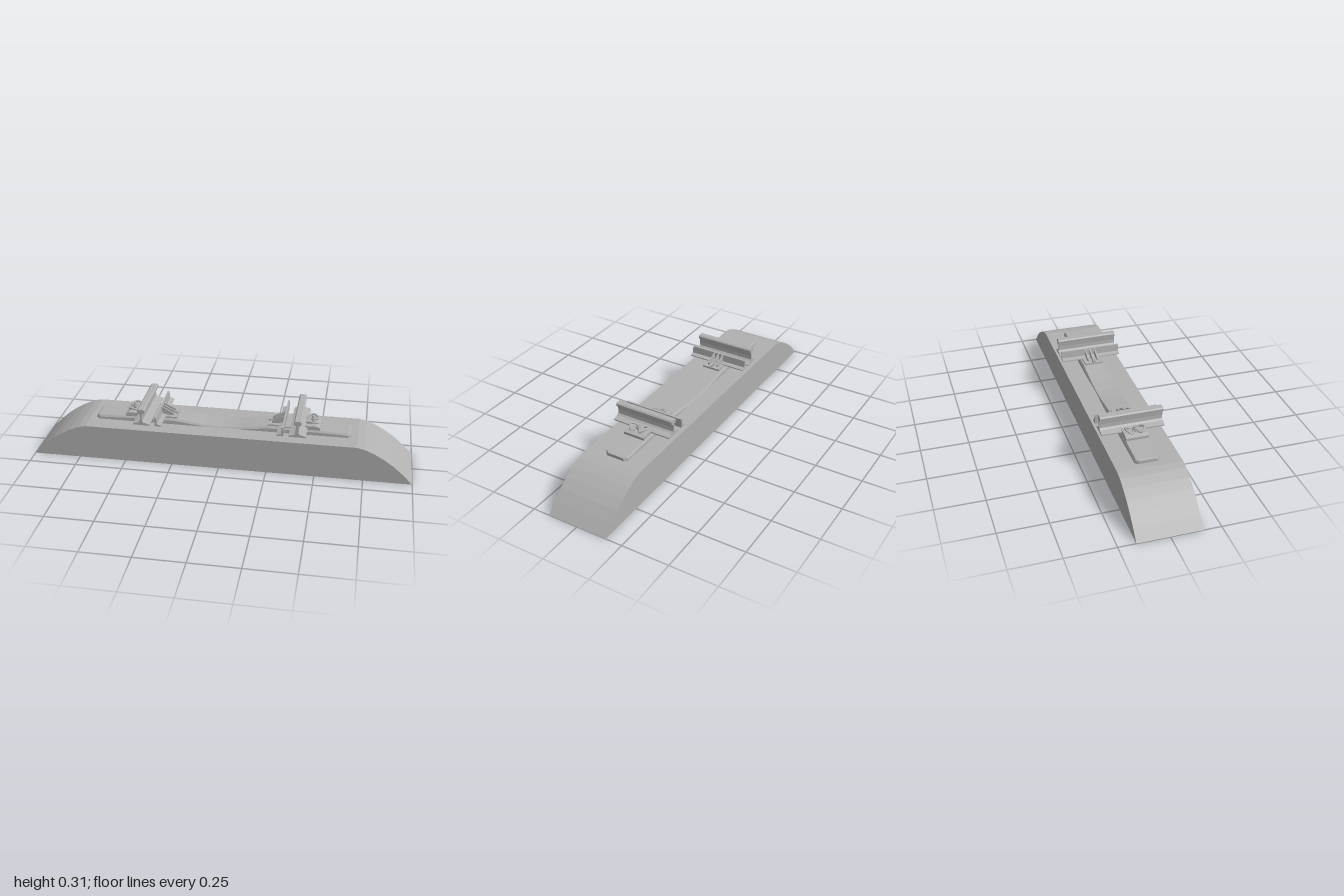
import * as THREE from 'three';

const grey = new THREE.MeshStandardMaterial({ color: 0xb0b0b0, side: THREE.DoubleSide });
grey.name = 'neutral grey';

function add(parent, name, geometry, x = 0, y = 0, z = 0) {
  const mesh = new THREE.Mesh(geometry, grey);
  mesh.name = name;
  mesh.position.set(x, y, z);
  parent.add(mesh);
  return mesh;
}

// Profile in x/y, swept along z and centred on z = 0
function sweep(points, depth, holes = []) {
  const shape = new THREE.Shape(points.map(([x, y]) => new THREE.Vector2(x, y)));
  shape.holes.push(...holes);
  const g = new THREE.ExtrudeGeometry(shape, { depth, bevelEnabled: false });
  return g.translate(0, 0, -depth / 2);
}

// Half profile mirrored in x, listed from the bottom centre outwards to the top
const mirrored = (half) => [...half, ...half.slice().reverse().map(([x, y]) => [-x, y])];

// Rail fastening on the field side: block, bolt, spring clip
function fieldClip() {
  const g = new THREE.Group();
  g.name = 'fieldClip';
  add(g, 'clipBlock', sweep([[0.435, 0.208], [0.515, 0.208], [0.515, 0.226], [0.495, 0.234], [0.435, 0.234]], 0.116));
  add(g, 'boltWasher', new THREE.CylinderGeometry(0.014, 0.014, 0.006, 16), 0.475, 0.252);
  add(g, 'boltShank', new THREE.CylinderGeometry(0.007, 0.007, 0.035, 12), 0.475, 0.243);
  add(g, 'boltHead', new THREE.CylinderGeometry(0.008, 0.011, 0.013, 6), 0.475, 0.261);
  for (const s of [-1, 1]) {
    const path = new THREE.CatmullRomCurve3([
      [0.445, 0.237, 0.018], [0.447, 0.243, 0.034], [0.468, 0.252, 0.048],
      [0.49, 0.25, 0.04], [0.5, 0.24, 0.024], [0.485, 0.243, 0.012], [0.468, 0.247, 0.01],
    ].map(([x, y, z]) => new THREE.Vector3(x, y, s * z)));
    add(g, 'springClip', new THREE.TubeGeometry(path, 28, 0.005, 8));
  }
  return g;
}

// One rail with its inner guard angle; built for +x
function railAssembly() {
  const g = new THREE.Group();
  g.name = 'railAssembly';

  const rail = mirrored([
    [0.044, 0.22], [0.044, 0.226], [0.015, 0.234], [0.006, 0.242], [0.0045, 0.262],
    [0.006, 0.283], [0.019, 0.289], [0.02, 0.302], [0.014, 0.308],
  ]);
  add(g, 'rail', sweep(rail, 0.324), 0.406);
  add(g, 'railPad', new THREE.BoxGeometry(0.15, 0.008, 0.116), 0.39, 0.217);

  // Guard angle with gussets
  add(g, 'guardAngle', sweep([
    [0.335, 0.22], [0.3, 0.22], [0.3, 0.225], [0.322, 0.231], [0.326, 0.268], [0.335, 0.268],
  ], 0.324));
  for (const z of [-0.026, 0, 0.026]) {
    add(g, 'gusset', sweep([[0.327, 0.218], [0.262, 0.218], [0.262, 0.235], [0.327, 0.268]], 0.007), 0, 0, z);
  }
  add(g, 'gussetPlate', new THREE.BoxGeometry(0.09, 0.012, 0.1), 0.285, 0.217);
  add(g, 'anchorNut', new THREE.CylinderGeometry(0.009, 0.009, 0.012, 6), 0.25, 0.228);

  g.add(fieldClip());
  return g;
}

export function createModel() {
  const model = new THREE.Group();
  model.name = 'trackSection';

  // Ballast bed with rounded shoulders
  add(model, 'ballastBed', sweep(mirrored([
    [1, 0], [0.95, 0.05], [0.9, 0.094], [0.85, 0.129], [0.8, 0.157], [0.75, 0.178], [0.71, 0.187], [0.3, 0.187],
  ]), 0.324));

  // Sleeper: top dips to the middle, flanks slope, corners chamfered
  const rows = [
    [0.675, 0.203, 0.042], [0.66, 0.207, 0.057], [0.5, 0.213, 0.058], [0.25, 0.215, 0.058],
    [0.18, 0.207, 0.058], [0.09, 0.196, 0.058], [0, 0.191, 0.058],
  ];
  const sections = [...rows.map(([x, y, w]) => [-x, y, w]), ...rows.slice(0, -1).reverse()];
  const pos = [], index = [];
  for (const [x, y, w] of sections) {
    pos.push(x, 0.17, w + 0.007, x, y - 0.009, w + 0.006, x, y, w, x, y, -w, x, y - 0.009, -w - 0.006, x, 0.17, -w - 0.007);
  }
  for (let i = 0; i < sections.length - 1; i++) {
    for (let j = 0; j < 5; j++) {
      const a = i * 6 + j, b = a + 6;
      index.push(a, b, b + 1, a, b + 1, a + 1);
    }
  }
  const end = (sections.length - 1) * 6;
  for (let j = 1; j < 5; j++) index.push(0, j, j + 1, end, end + j + 1, end + j);
  const indexed = new THREE.BufferGeometry();
  indexed.setAttribute('position', new THREE.Float32BufferAttribute(pos, 3));
  indexed.setIndex(index);
  const sleeper = indexed.toNonIndexed();
  sleeper.computeVertexNormals();
  add(model, 'sleeper', sleeper);

  // Two rails, the second turned half round
  const left = railAssembly();
  const right = railAssembly();
  right.rotation.y = Math.PI;
  model.add(left, right);
  return model;
}
